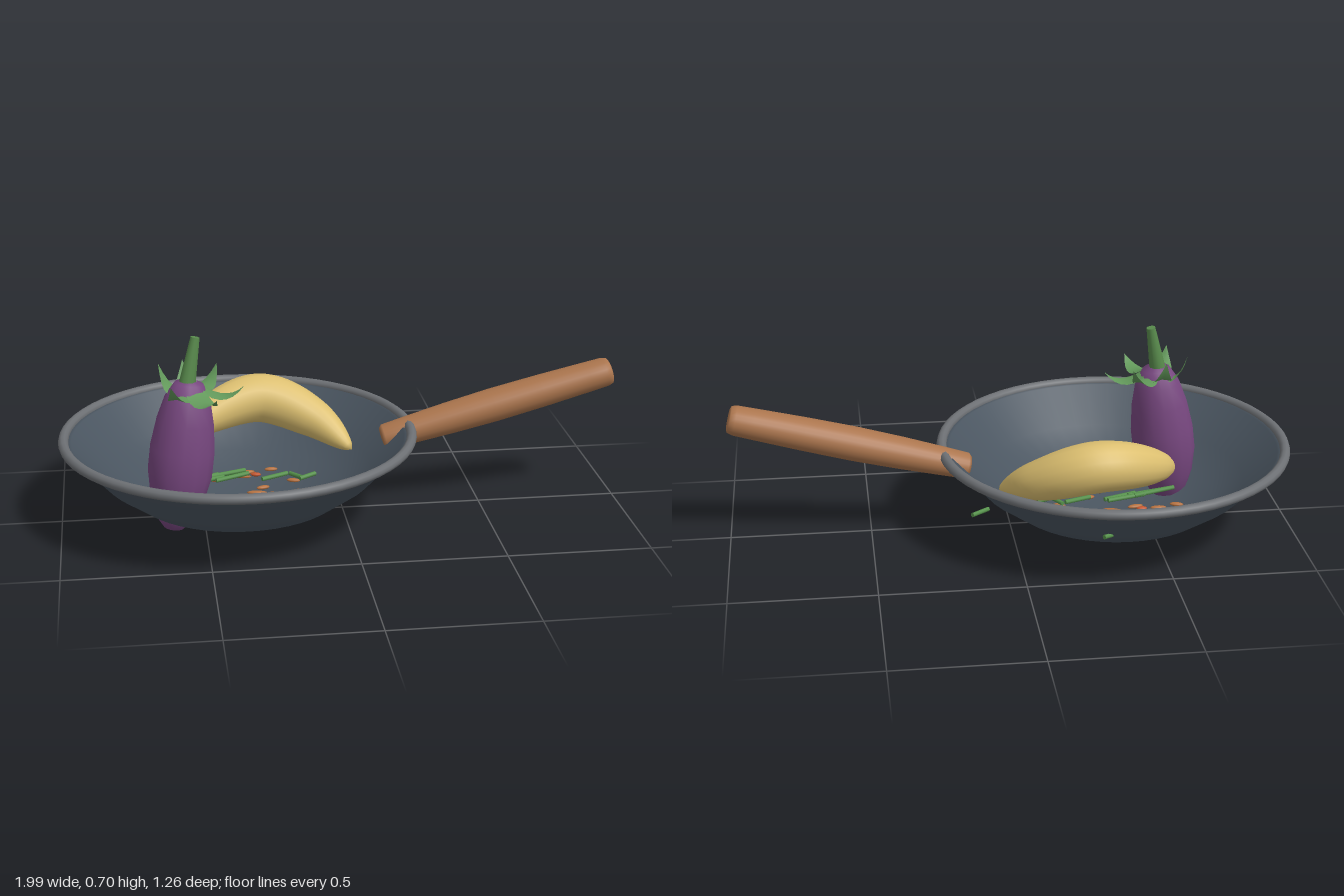
import * as THREE from 'three';
import { mergeVertices } from 'three/addons/utils/BufferGeometryUtils.js';

const V = (x, y, z) => new THREE.Vector3(x, y, z);
const mat = (name, color, side = THREE.FrontSide) =>
  Object.assign(new THREE.MeshStandardMaterial({ color, side }), { name });

export function createModel() {
  const root = new THREE.Group();
  root.name = 'panWithVegetables';
  const M = {
    pan: mat('pan grey', 0x4a5560, THREE.DoubleSide),
    rim: mat('rim grey', 0x6d7074),
    wood: mat('wood', 0xab754d),
    purple: mat('aubergine purple', 0x77477f),
    leaf: mat('leaf green', 0x62985a, THREE.DoubleSide),
    stem: mat('stem green', 0x588a4c),
    yellow: mat('banana yellow', 0xdcbf70),
    carrot: mat('carrot brown', 0xb5713f),
    red: mat('pepper red', 0xc4572f),
    onion: mat('onion green', 0x55914a),
  };
  const add = (name, geometry, material, parent = root) => {
    const mesh = new THREE.Mesh(geometry, material);
    mesh.name = name;
    parent.add(mesh);
    return mesh;
  };
  const lathe = (points, segments) =>
    new THREE.LatheGeometry(points.map(([r, y]) => new THREE.Vector2(r, y)), segments);
  // Turns a mesh built along y so that it starts at a and points to b
  const aim = (mesh, a, b) => {
    mesh.position.copy(a);
    mesh.quaternion.setFromUnitVectors(V(0, 1, 0), b.clone().sub(a).normalize());
    return mesh;
  };
  const rod = (name, a, b, r0, r1, material, sides = 8) => {
    const length = a.distanceTo(b);
    const g = new THREE.CylinderGeometry(r1, r0, length, sides).translate(0, length / 2, 0);
    return aim(add(name, g, material), a, b);
  };

  // Pan: outer skin up, inner skin down, with a small hole in the floor
  const bowl = add('panBowl', lathe([
    [0.043, 0.002], [0.12, 0.009], [0.24, 0.035], [0.37, 0.085], [0.48, 0.165], [0.595, 0.292],
    [0.61, 0.305], [0.585, 0.3], [0.47, 0.18], [0.365, 0.103], [0.24, 0.052], [0.12, 0.026], [0.02, 0.018],
  ], 48), M.pan);
  bowl.position.x = -0.37;
  const rim = add('panRim', new THREE.TorusGeometry(0.612, 0.018, 10, 64).rotateX(Math.PI / 2), M.rim);
  rim.position.set(-0.37, 0.303, 0);

  // Handle: swelling grip with rounded ends, slightly flattened
  const handle = add('handle', lathe([
    [0, 0], [0.04, 0.001], [0.052, 0.012], [0.057, 0.1], [0.064, 0.25], [0.068, 0.42],
    [0.066, 0.6], [0.061, 0.78], [0.059, 0.84], [0.053, 0.858], [0.042, 0.863], [0, 0.864],
  ], 24), M.wood);
  handle.position.set(0.147, 0.25, -0.033);
  handle.rotation.z = -1.313;
  handle.scale.x = 0.88;

  // Aubergine body, leaning a little
  const body = add('aubergineBody', lathe([
    [0, 0], [0.035, 0.008], [0.065, 0.045], [0.095, 0.12], [0.113, 0.21], [0.113, 0.3],
    [0.1, 0.4], [0.08, 0.48], [0.05, 0.535], [0, 0.55],
  ], 14), M.purple);
  aim(body, V(-0.612, 0.006, 0.13), V(-0.54, 0.55, 0.112));
  rod('aubergineStem', V(-0.55, 0.53, 0.114), V(-0.517, 0.695, 0.1), 0.03, 0.016, M.stem, 10);

  // Calyx leaves: each sags over the shoulder, then its tip curls up
  const crown = V(-0.545, 0.56, 0.113);
  const tips = [
    V(-0.61, 0.57, 0.26), V(-0.46, 0.53, 0.295), V(-0.355, 0.525, 0.13),
    V(-0.44, 0.57, 0.0), V(-0.56, 0.59, 0.01), V(-0.645, 0.595, 0.06),
  ];
  for (const tip of tips) {
    const bend = crown.clone().lerp(tip, 0.62).setY(0.45);
    const curve = new THREE.QuadraticBezierCurve3(crown, bend, tip);
    const out = tip.clone().sub(crown).setY(0).normalize();
    const side = V(-out.z, 0, out.x);
    const g = new THREE.PlaneGeometry(2, 1, 2, 8);
    const p = g.attributes.position;
    for (let i = 0; i < p.count; i++) {
      const t = p.getY(i) + 0.5, u = p.getX(i);
      const half = 0.04 * Math.sin(Math.PI * Math.pow(0.12 + 0.88 * t, 0.9));
      const q = curve.getPoint(t).addScaledVector(side, u * half);
      p.setXYZ(i, q.x, q.y - Math.abs(u) * half * 0.25, q.z);
    }
    g.computeVertexNormals();
    add('calyxLeaf', g, M.leaf);
  }

  // Banana: a tube whose rings shrink toward both ends
  const path = new THREE.CatmullRomCurve3([
    V(-0.57, 0.24, -0.105), V(-0.47, 0.295, -0.21), V(-0.27, 0.335, -0.285),
    V(-0.08, 0.27, -0.225), V(0.05, 0.185, -0.1),
  ]);
  const rings = 40, sides = 16;
  let skin = new THREE.TubeGeometry(path, rings, 1, sides);
  const sp = skin.attributes.position;
  for (let i = 0; i < sp.count; i++) {
    const t = Math.floor(i / (sides + 1)) / rings;
    const c = path.getPointAt(t);
    const r = 0.09 * Math.pow(Math.max(Math.sin(Math.PI * t), 0), 0.62);
    const q = V(sp.getX(i), sp.getY(i), sp.getZ(i)).sub(c).multiplyScalar(r).add(c);
    sp.setXYZ(i, q.x, q.y, q.z);
  }
  skin.deleteAttribute('uv');
  skin.deleteAttribute('normal');
  skin = mergeVertices(skin, 1e-5);
  skin.computeVertexNormals();
  add('banana', skin, M.yellow);

  // Spring onion strips: x, z at both ends and height
  const strips = [
    [-0.595, -0.015, -0.44, -0.075, 0.12], [-0.58, -0.01, -0.42, -0.06, 0.115],
    [-0.48, -0.06, -0.34, -0.105, 0.12], [-0.45, -0.035, -0.33, -0.085, 0.115],
    [-0.285, -0.04, -0.19, -0.08, 0.11], [-0.18, -0.085, -0.145, -0.035, 0.11],
    [-0.15, -0.03, -0.09, -0.065, 0.11], [0.1, -0.205, 0.16, -0.255, 0.16],
    [-0.29, -0.47, -0.26, -0.49, 0.165],
  ];
  for (const [x0, z0, x1, z1, y] of strips)
    rod('onionStrip', V(x0, y, z0), V(x1, y + 0.003, z1), 0.008, 0.008, M.onion);

  // Chopped pieces: x, z, half length
  const piece = new THREE.SphereGeometry(1, 10, 6);
  const scatter = (name, material, list) => list.forEach(([x, z, l], i) => {
    const m = add(name, piece, material);
    m.position.set(x, 0.092, z);
    m.scale.set(l, 0.007, 0.011);
    m.rotation.y = ((i * 37) % 11 - 5) * 0.06;
  });
  scatter('carrotPiece', M.carrot, [
    [-0.355, -0.125, 0.04], [-0.4, -0.155, 0.028], [-0.44, -0.1, 0.03], [-0.59, -0.1, 0.025],
    [-0.24, -0.18, 0.025], [-0.285, -0.005, 0.025], [-0.31, 0.042, 0.038], [-0.165, 0.045, 0.028],
    [-0.34, 0.075, 0.025], [-0.25, 0.085, 0.025], [-0.26, 0.06, 0.022], [-0.17, -0.06, 0.025],
    [-0.52, -0.12, 0.03], [-0.33, -0.16, 0.03],
  ]);
  scatter('pepperPiece', M.red, [
    [-0.355, 0.175, 0.05], [-0.39, 0.165, 0.03], [-0.25, 0.095, 0.018],
    [-0.3, -0.135, 0.02], [-0.46, -0.12, 0.02],
  ]);
  return root;
}
